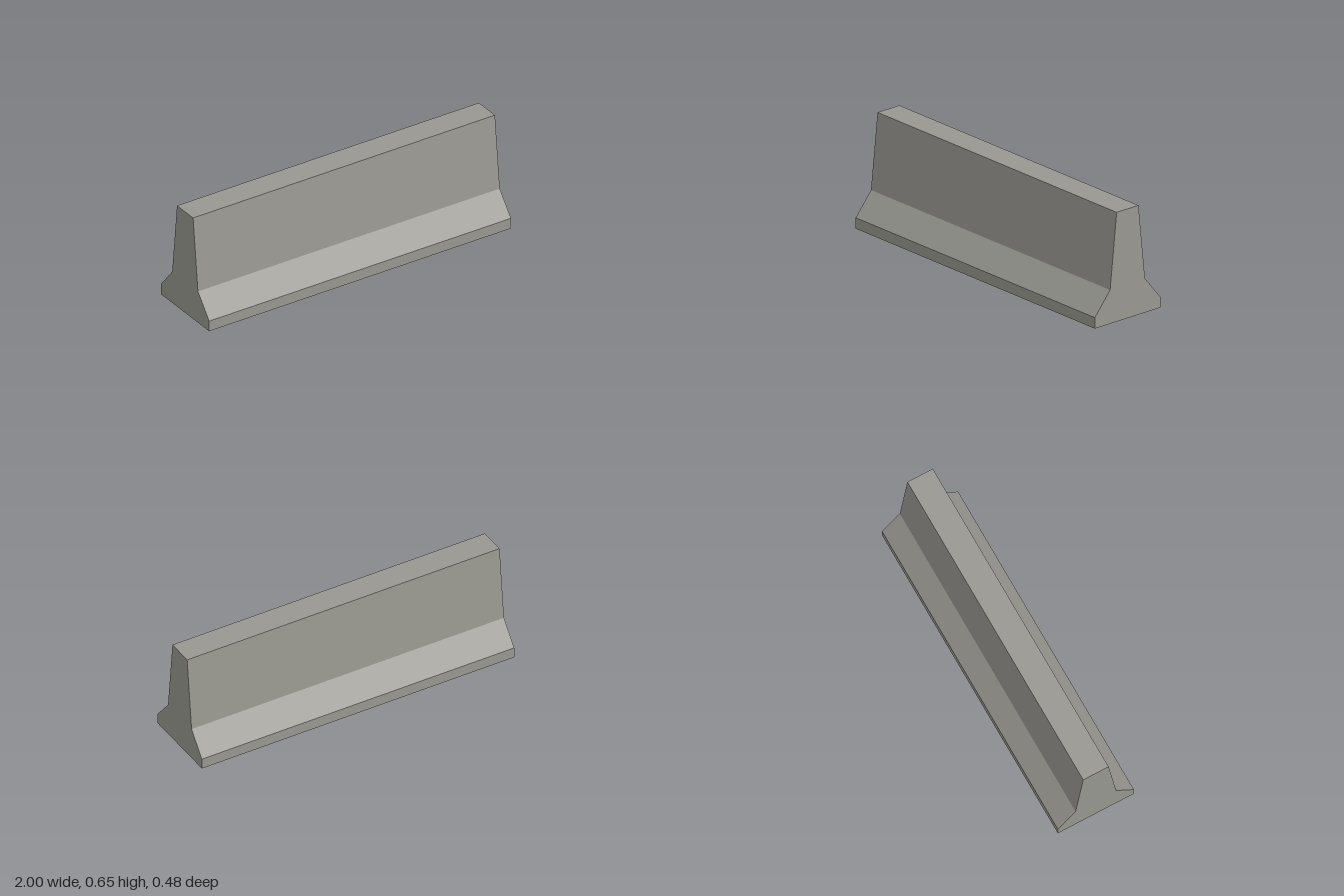
import * as THREE from 'three';

export function createModel() {
  const model = new THREE.Group();
  model.name = 'roadBarrier';

  const concrete = new THREE.MeshStandardMaterial({ color: 0x989790 });
  concrete.name = 'concrete grey';

  // Half profile as [depth, height]: foot, sloped toe, tapering wall
  const half = [[0.24, 0], [0.24, 0.065], [0.128, 0.2], [0.08, 0.648]];
  const mirrored = half.map(([d, h]) => [-d, h]).reverse();
  const profile = new THREE.Shape([...half, ...mirrored].map(([d, h]) => new THREE.Vector2(d, h)));

  // Run the profile along x, centred
  const length = 2;
  const geometry = new THREE.ExtrudeGeometry(profile, { depth: length, bevelEnabled: false });
  geometry.translate(0, 0, -length / 2);
  geometry.rotateY(Math.PI / 2);

  const barrier = new THREE.Mesh(geometry, concrete);
  barrier.name = 'barrierBody';
  model.add(barrier);
  return model;
}
